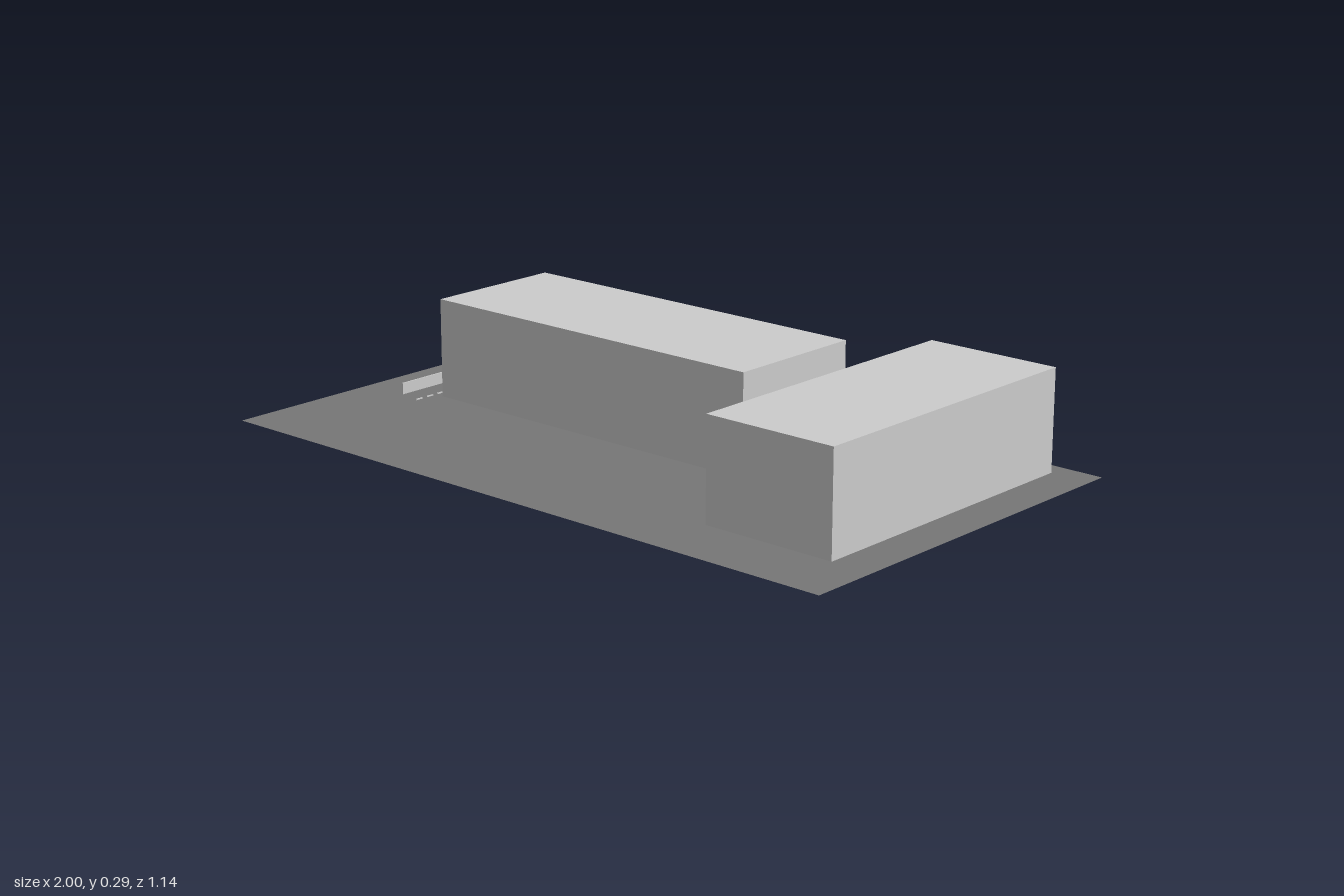
import * as THREE from 'three';

export function createModel() {
  const group = new THREE.Group();
  const mat = (color) => new THREE.MeshStandardMaterial({ color, flatShading: true });
  const grey = mat(0xcccccc), white = mat(0xffffff), blue = mat(0x22264a);

  // box given by its limits on each axis
  const block = (name, [x0, x1], [y0, y1], [z0, z1], material = grey) => {
    const mesh = new THREE.Mesh(new THREE.BoxGeometry(x1 - x0, y1 - y0, z1 - z0), material);
    mesh.position.set((x0 + x1) / 2, (y0 + y1) / 2, (z0 + z1) / 2);
    mesh.name = name;
    group.add(mesh);
    return mesh;
  };

  // flat site
  const ground = new THREE.Mesh(new THREE.PlaneGeometry(2, 1.14), mat(0x777777));
  ground.material.side = THREE.DoubleSide;
  ground.rotation.x = -Math.PI / 2;
  ground.name = 'ground';
  group.add(ground);

  // two halls
  const hallHeight = [0.01, 0.288];
  block('mainHall', [-0.74, 0.35], hallHeight, [-0.34, 0.07]);
  block('sideHall', [0.515, 0.9], hallHeight, [-0.49, 0.4]);

  // boundary walls with short returns at the gate
  const wallHeight = [0.01, 0.042], t = 0.004;
  block('backWall', [-0.84, 0.535], wallHeight, [-0.502, -0.502 + t]);
  block('backWallReturn', [-0.84, -0.84 + t], wallHeight, [-0.498, -0.43]);
  block('gateStubBack', [-0.836, -0.826], wallHeight, [-0.43 - t, -0.43]);
  block('sideWall', [-0.84, -0.84 + t], wallHeight, [-0.34, 0.13]);
  block('gateStubFront', [-0.836, -0.826], wallHeight, [-0.34, -0.34 + t]);

  // gate barrier
  for (const z of [-0.43, -0.333]) {
    block('gatePost', [-0.836, -0.828], [0.006, 0.036], [z - 0.004, z + 0.004], blue);
  }
  block('gateArm', [-0.834, -0.83], [0.03, 0.034], [-0.43, -0.333], blue);

  // row of parking bays, running on beneath the canopy
  for (let i = 0; i < 16; i++) {
    const x = -0.826 + i * 0.073;
    block('parkingBay', [x, x + 0.062], [0.01, 0.026], [-0.48, -0.43]);
  }

  // thin canopy with one bend, rising away from the back wall
  const profile = new THREE.Shape([
    [0.5, 0.04], [0.467, 0.044], [0.41, 0.047], [0.41, 0.049], [0.467, 0.046], [0.5, 0.042],
  ].map(([a, y]) => new THREE.Vector2(a, y)));
  const canopy = new THREE.Mesh(
    new THREE.ExtrudeGeometry(profile, { depth: 0.92, bevelEnabled: false }), grey);
  canopy.rotation.y = Math.PI / 2;
  canopy.position.x = -0.56;
  canopy.name = 'canopy';
  group.add(canopy);

  // dashed road centre lines
  for (let x = -0.79; x < 0.37; x += 0.04) {
    block('backRoadDash', [x, x + 0.024], [0.003, 0.006], [-0.387, -0.383], white);
  }
  for (let z = -0.335; z < 0.12; z += 0.04) {
    block('sideRoadDash', [-0.787, -0.783], [0.003, 0.006], [z, z + 0.024], white);
  }
  return group;
}
